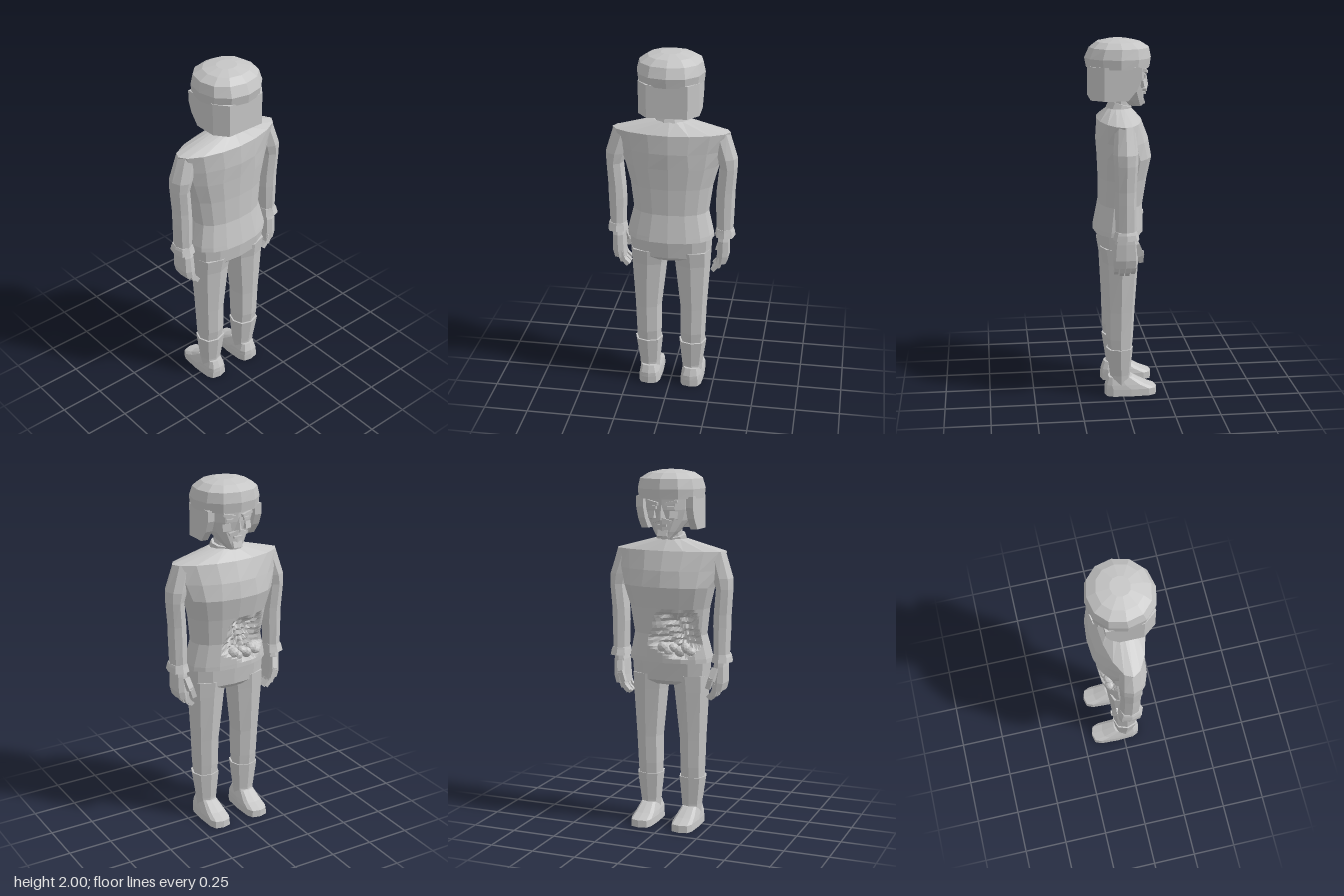
import * as THREE from 'three';

const grey = new THREE.MeshStandardMaterial({ color: 0xc6c6c6, flatShading: true });
grey.name = 'light grey';

function add(parent, name, geometry) {
  const mesh = new THREE.Mesh(geometry, grey);
  mesh.name = name;
  parent.add(mesh);
  return mesh;
}

// One horizontal cross-section: level is [y, centreX, radiusX, zMin, zMax]; e < 1 is boxier.
function ring([y, cx, rx, z0, z1], n, e) {
  const bend = v => Math.sign(v) * Math.pow(Math.abs(v) < 1e-9 ? 0 : Math.abs(v), e);
  return Array.from({ length: n }, (_, i) => {
    const t = i / n * Math.PI * 2;
    return new THREE.Vector3(cx + rx * bend(Math.cos(t)), y,
      (z0 + z1) / 2 + (z1 - z0) / 2 * bend(Math.sin(t)));
  });
}

function fromPoints(points) {
  const g = new THREE.BufferGeometry().setFromPoints(points);
  g.computeVertexNormals();
  return g;
}

// Skin over rings listed from bottom to top, closed at both ends.
function skin(rings, skip = () => false) {
  const p = [], n = rings[0].length;
  for (let r = 0; r < rings.length - 1; r++) {
    for (let i = 0; i < n; i++) {
      if (skip(r, i)) continue;
      const j = (i + 1) % n, lo = rings[r], hi = rings[r + 1];
      p.push(lo[i], hi[i], lo[j], lo[j], hi[i], hi[j]);
    }
  }
  const lo = rings[0], hi = rings[rings.length - 1];
  for (let i = 1; i < n - 1; i++) p.push(lo[0], lo[i], lo[i + 1], hi[0], hi[i + 1], hi[i]);
  return fromPoints(p);
}

const loft = (levels, n = 8, e = 1) => skin(levels.map(l => ring(l, n, e)));

function box(parent, name, size, pos, rot = [0, 0, 0]) {
  const m = add(parent, name, new THREE.BoxGeometry(...size));
  m.position.set(...pos);
  m.rotation.set(...rot);
  return m;
}

// Torso with an irregular cavity on the belly.
function buildTorso(parent) {
  const levels = [
    [0.945, 0, 0.245, -0.125, 0.155], [0.97, 0, 0.243, -0.125, 0.15],
    [1.1, 0, 0.212, -0.122, 0.125], [1.25, 0, 0.232, -0.145, 0.125],
    [1.37, 0, 0.265, -0.17, 0.13], [1.46, 0, 0.3, -0.155, 0.137],
    [1.565, 0, 0.325, -0.115, 0.13], [1.625, 0, 0.1, -0.06, 0.075]];
  const rings = levels.map((l, i) => ring(l, 16, i > 4 ? 1.1 : 0.9));
  const inHole = (r, i) => r >= 1 && r <= 2 && i >= 9 && i <= 12;
  add(parent, 'torso', skin(rings, inHole));

  // Cavity grid follows the torso facets and sinks inside an ellipse.
  const nu = 24, nv = 16;
  const point = (a, b) => {
    const u = a / nu * 4, v = b / nv * 2;
    const i = Math.min(3, Math.floor(u)), r = Math.min(1, Math.floor(v));
    const lo = rings[1 + r], hi = rings[2 + r];
    const p = lo[9 + i].clone().lerp(lo[10 + i], u - i)
      .lerp(hi[9 + i].clone().lerp(hi[10 + i], u - i), v - r);
    const x = a / nu * 2 - 1, y = b / nv * 2 - 1;
    const d = Math.hypot(x * 1.05, y * 1.03) + 0.1 * Math.sin(5 * Math.atan2(y, x));
    if (d < 1 && a > 0 && b > 0 && a < nu && b < nv) {
      const rough = 0.13 * Math.sin(a * 12.9 + b * 78.2) + 0.1 * Math.sin(a * 4.1 - b * 2.3);
      const sink = Math.min(1, (1 - d) * 3) * (0.4 + rough);
      p.x += (-0.05 - p.x) * sink;
      p.z += (0.05 - p.z) * sink;
    }
    return p;
  };
  const tris = [];
  for (let a = 0; a < nu; a++) for (let b = 0; b < nv; b++) {
    const p = point(a, b), q = point(a + 1, b), s = point(a, b + 1), t = point(a + 1, b + 1);
    tris.push(p, s, q, q, s, t);
  }
  add(parent, 'bellyWound', fromPoints(tris));
  // Lumps along the lower edge of the cavity
  for (let i = 0; i < 6; i++) {
    const lump = add(parent, 'woundLump', new THREE.IcosahedronGeometry(0.03, 1));
    lump.position.set(-0.15 + i * 0.032, 1.01 + 0.02 * (i % 2), -0.075 - 0.005 * i);
    lump.scale.set(1, 0.8 + 0.2 * (i % 3), 1);
    lump.rotation.set(i, i * 2, i * 3);
  }
}

function buildHead(parent) {
  const head = new THREE.Group();
  head.name = 'head';
  parent.add(head);
  add(head, 'neck', loft([[1.56, 0, 0.07, -0.05, 0.06], [1.74, 0, 0.065, -0.06, 0.06]], 10));
  const collar = add(head, 'collar', loft([[-0.025, 0, 0.095, -0.07, 0.07], [0.025, 0, 0.085, -0.065, 0.065]], 10));
  collar.position.set(0, 1.625, 0.005);
  collar.rotation.x = -0.3;
  add(head, 'skull', loft([[1.635, 0, 0.04, -0.125, -0.05], [1.67, 0, 0.07, -0.13, 0.02],
    [1.73, 0, 0.11, -0.13, 0.1], [1.79, 0, 0.128, -0.138, 0.12], [1.87, 0, 0.135, -0.14, 0.12]], 12, 0.85));

  // Hair: a U-shaped wall, cut back towards the lower front
  const plan = [[-0.165, -0.1], [-0.165, 0.1], [-0.11, 0.17], [0.11, 0.17], [0.165, 0.1], [0.165, -0.1],
    [0.125, -0.1], [0.125, 0.08], [-0.125, 0.08], [-0.125, -0.1]];
  const hair = new THREE.ExtrudeGeometry(new THREE.Shape(plan.map(p => new THREE.Vector2(...p))),
    { depth: 0.18, steps: 3, bevelEnabled: false });
  hair.rotateX(Math.PI / 2).translate(0, 1.86, 0);
  const pos = hair.attributes.position;
  for (let i = 0; i < pos.count; i++) {
    if (pos.getZ(i) < -0.05) pos.setZ(i, -0.1 + Math.max(0, 1.77 - pos.getY(i)) * 0.8);
  }
  add(head, 'hair', hair);

  add(head, 'cap', loft([[1.848, 0, 0.18, -0.163, 0.185], [1.9, 0, 0.185, -0.17, 0.195],
    [1.955, 0, 0.172, -0.158, 0.17], [1.985, 0, 0.125, -0.11, 0.13], [2, 0, 0.055, -0.04, 0.065]], 12, 0.92));

  // Facial features
  const nose = add(head, 'nose', new THREE.ConeGeometry(0.024, 0.075, 4));
  nose.position.set(0, 1.78, -0.139);
  nose.rotation.x = -0.15;
  for (const s of [-1, 1]) {
    box(head, 'brow', [0.07, 0.016, 0.03], [s * 0.052, 1.828, -0.128], [0, s * -0.25, s * 0.2]);
    box(head, 'eye', [0.04, 0.016, 0.014], [s * 0.05, 1.802, -0.131], [0, s * -0.25, 0]);
    box(head, 'cheek', [0.045, 0.04, 0.02], [s * 0.062, 1.762, -0.12], [0.2, s * -0.4, 0]);
    box(head, 'moustache', [0.055, 0.015, 0.025], [s * 0.026, 1.733, -0.134], [0, s * -0.2, s * -0.3]);
  }
  box(head, 'lowerLip', [0.05, 0.012, 0.02], [0, 1.705, -0.13]);
  box(head, 'chin', [0.055, 0.035, 0.03], [0, 1.66, -0.118], [0.3, 0, 0]);
}

function buildArm(parent, s) {
  const arm = new THREE.Group();
  arm.name = s > 0 ? 'leftArm' : 'rightArm';
  parent.add(arm);
  add(arm, 'sleeve', loft([[0.96, s * 0.302, 0.046, -0.058, 0.058], [1.15, s * 0.302, 0.053, -0.055, 0.06],
    [1.22, s * 0.304, 0.052, -0.055, 0.06], [1.36, s * 0.315, 0.05, -0.062, 0.065],
    [1.42, s * 0.305, 0.06, -0.065, 0.07], [1.565, s * 0.26, 0.06, -0.05, 0.055]], 8));
  add(arm, 'cuff', loft([[0.955, s * 0.304, 0.058, -0.072, 0.074],
    [0.985, s * 0.304, 0.053, -0.062, 0.064], [1.0, s * 0.303, 0.048, -0.058, 0.06]], 8, 0.8));
  add(arm, 'palm', loft([[0.795, s * 0.288, 0.032, -0.06, 0.066], [0.84, s * 0.296, 0.036, -0.062, 0.068],
    [0.93, s * 0.298, 0.034, -0.056, 0.062], [0.965, s * 0.3, 0.03, -0.05, 0.05]], 8, 0.5));
  for (let i = 0; i < 4; i++) {
    const z = 0.049 - i * 0.031, drop = i === 0 || i === 3 ? 0.01 : 0;
    box(arm, 'fingerBase', [0.03, 0.06, 0.026], [s * 0.278, 0.79 + drop, z], [0, 0, s * -0.35]);
    box(arm, 'fingerTip', [0.024, 0.045, 0.023], [s * 0.255, 0.757 + drop, z], [0, 0, s * -0.75]);
  }
  box(arm, 'thumbBase', [0.032, 0.075, 0.035], [s * 0.277, 0.89, -0.07], [0.4, 0, s * -0.2]);
  box(arm, 'thumbTip', [0.027, 0.065, 0.027], [s * 0.262, 0.845, -0.086], [0, 0, s * -0.3]);
}

function buildLeg(parent, s) {
  const leg = new THREE.Group();
  leg.name = s > 0 ? 'leftLeg' : 'rightLeg';
  parent.add(leg);
  add(leg, 'trouserLeg', loft([[0.26, s * 0.128, 0.07, -0.052, 0.08], [0.34, s * 0.128, 0.073, -0.06, 0.092],
    [0.5, s * 0.13, 0.077, -0.068, 0.095], [0.78, s * 0.123, 0.102, -0.088, 0.11],
    [0.87, s * 0.118, 0.112, -0.095, 0.125]], 8, 0.85));
  add(leg, 'boot', loft([[0.06, s * 0.125, 0.056, -0.045, 0.07], [0.12, s * 0.125, 0.06, -0.045, 0.07],
    [0.28, s * 0.128, 0.08, -0.06, 0.094]], 8, 0.85));
  add(leg, 'shoe', loft([[0, s * 0.123, 0.067, -0.195, 0.103], [0.04, s * 0.123, 0.065, -0.193, 0.103],
    [0.065, s * 0.123, 0.06, -0.13, 0.1], [0.108, s * 0.125, 0.046, -0.055, 0.082]], 12, 0.55));
}

export function createModel() {
  const model = new THREE.Group();
  model.name = 'standingFigure';
  buildTorso(model);
  buildHead(model);
  add(model, 'pelvis', loft([[0.815, 0, 0.18, -0.075, 0.1], [0.84, 0, 0.228, -0.098, 0.125],
    [0.96, 0, 0.235, -0.108, 0.138]], 12, 0.8));
  for (const s of [-1, 1]) {
    buildArm(model, s);
    buildLeg(model, s);
  }
  return model;
}
